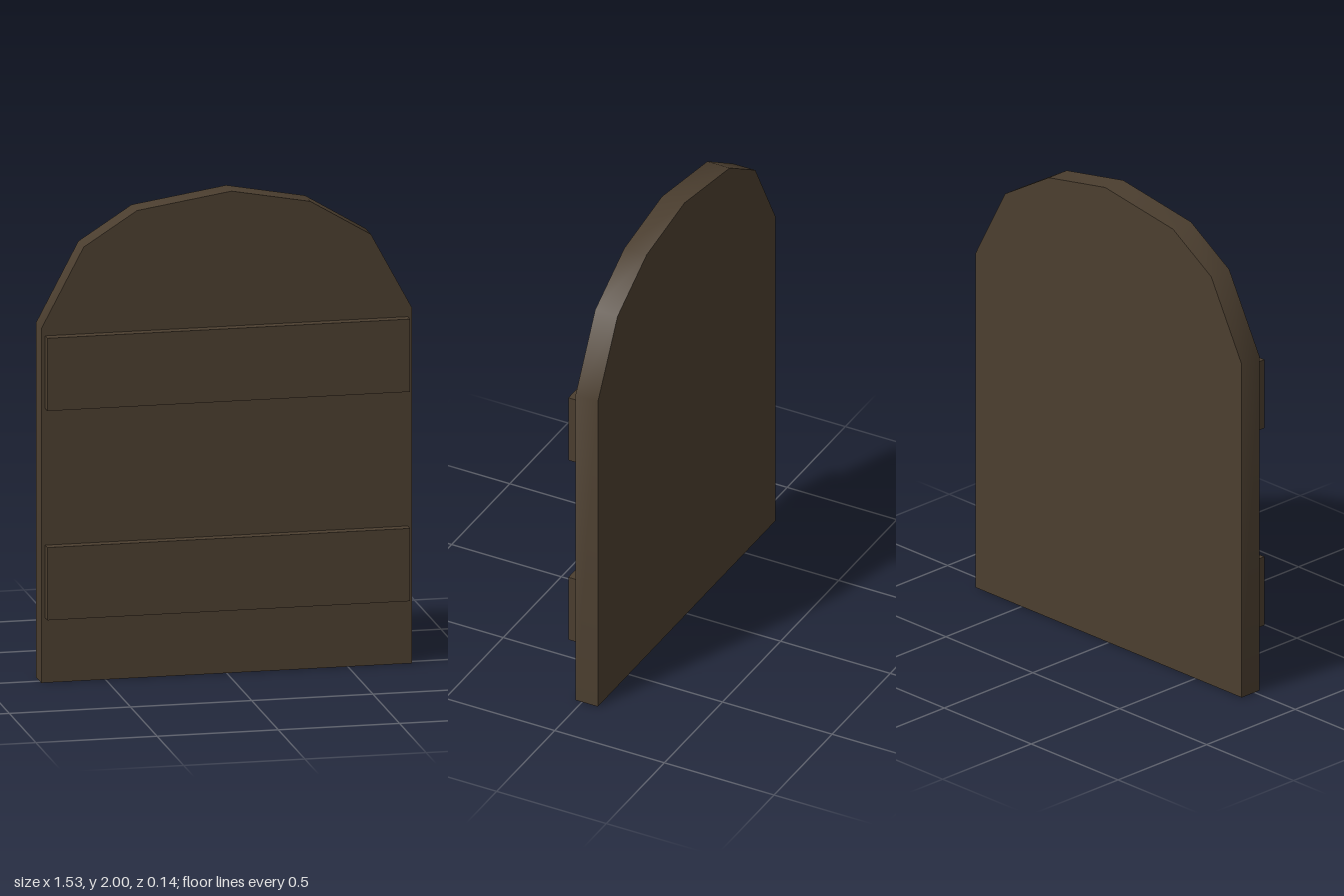
import * as THREE from 'three';
import { toCreasedNormals } from 'three/addons/utils/BufferGeometryUtils.js';

export function createModel() {
  const door = new THREE.Group();
  door.name = 'archedDoor';
  const wood = new THREE.MeshStandardMaterial({ color: 0x4b3e2f });
  wood.name = 'dark wood';

  // Arched slab, rim softly shaded around the arch
  const outline = [
    [-0.765, 0], [0.765, 0], [0.765, 1.475], [0.595, 1.79], [0.345, 1.94],
    [0.02, 2], [-0.37, 1.94], [-0.59, 1.8], [-0.765, 1.47],
  ].map(([x, y]) => new THREE.Vector2(x, y));
  const slabGeometry = new THREE.ExtrudeGeometry(new THREE.Shape(outline), {
    depth: 0.102, bevelEnabled: false,
  });
  const slab = new THREE.Mesh(toCreasedNormals(slabGeometry, 0.7), wood);
  slab.name = 'doorSlab';
  slab.position.z = -0.072;
  door.add(slab);

  // Two cross planks on the front
  const plankGeometry = new THREE.BoxGeometry(1.496, 0.302, 0.042);
  [['lowerPlank', 0.42], ['upperPlank', 1.289]].forEach(([name, y]) => {
    const plank = new THREE.Mesh(plankGeometry, wood);
    plank.name = name;
    plank.position.set(-0.001, y, 0.051);
    door.add(plank);
  });

  return door;
}
